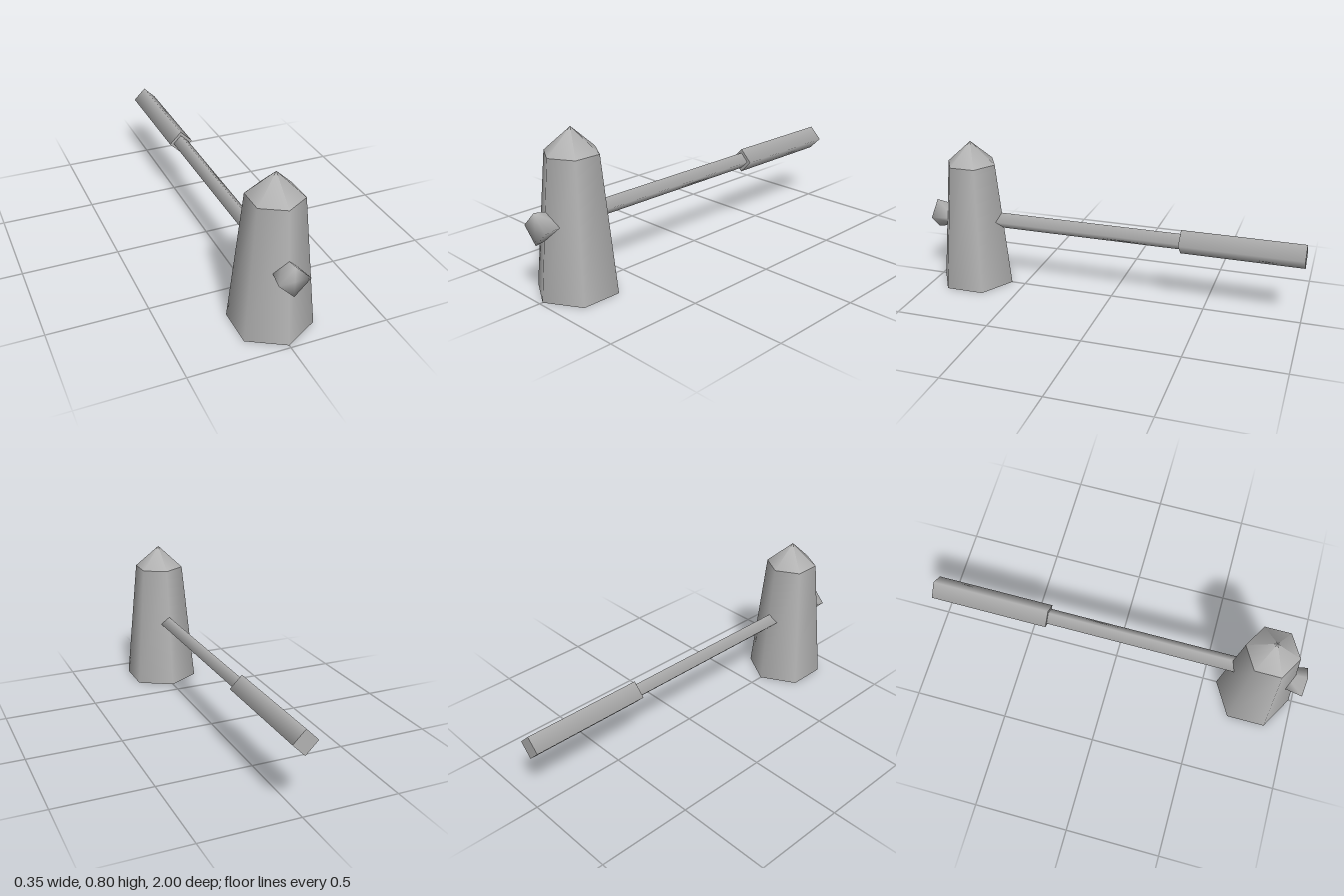
import * as THREE from 'three';
import { mergeVertices } from 'three/addons/utils/BufferGeometryUtils.js';

const HEAD_Z = 0.78;   // centre of the upright head
const AXIS_Y = 0.365;  // height of the horizontal shaft

export function createModel() {
  const group = new THREE.Group();
  const grey = new THREE.MeshStandardMaterial({ color: 0xb2b2b2 });
  grey.name = 'grey';

  function add(name, geometry, y, z) {
    const mesh = new THREE.Mesh(geometry, grey);
    mesh.name = name;
    mesh.position.set(0, y, z);
    group.add(mesh);
    return mesh;
  }

  // Four-sided bar along z with its corners up, down, left and right
  function bar(rFront, rBack, zFront, zBack) {
    return new THREE.CylinderGeometry(rFront, rBack, zFront - zBack, 4)
      .rotateX(Math.PI / 2)
      .translate(0, 0, (zFront + zBack) / 2);
  }

  // Tapered six-sided head with a pointed top
  add('head', new THREE.CylinderGeometry(0.135, 0.204, 0.675, 6), 0.3375, HEAD_Z);
  add('headPoint', new THREE.ConeGeometry(0.135, 0.12, 6, 1, true), 0.735, HEAD_Z);

  // Shaft and thicker grip
  add('shaft', bar(0.043, 0.043, 0.68, -0.38), AXIS_Y, 0);
  add('grip', bar(0.064, 0.064, -0.37, -1), AXIS_Y, 0);

  // Flared striking stud, softly shaded across its face
  let stud = bar(0.079, 0.057, 1, 0.88);
  stud.deleteAttribute('normal');
  stud.deleteAttribute('uv');
  stud = mergeVertices(stud, 1e-4);
  stud.computeVertexNormals();
  add('stud', stud, AXIS_Y, 0);

  return group;
}
